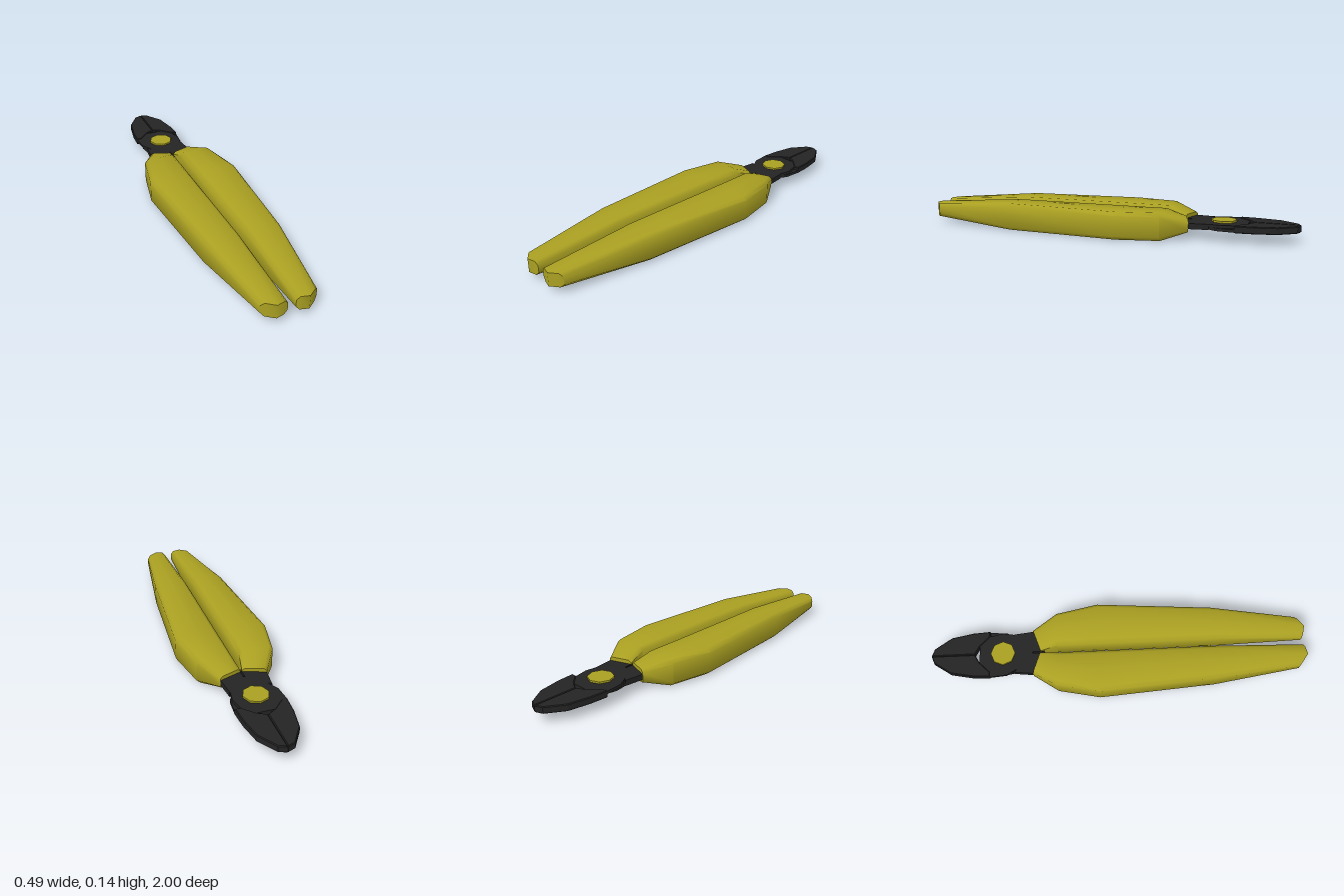
import * as THREE from 'three';
import { toCreasedNormals } from 'three/addons/utils/BufferGeometryUtils.js';

const grip = new THREE.MeshStandardMaterial({ color: 0xaaa022 });
const steel = new THREE.MeshStandardMaterial({ color: 0x242424 });

// Handle: chamfered cross-sections lofted from the butt to the neck.
// [inner x, outer x, chamfer, half height, half side height, z inner, z middle, z outer]
const SECTIONS = [
  [0.02, 0.14, 0.017, 0.036, 0.018, 0.985, 1.0, 0.955],
  [0.02, 0.2, 0.02, 0.0715, 0.054, 0.5, 0.5, 0.5],
  [0.02, 0.245, 0.022, 0.0715, 0.054, -0.11, -0.11, -0.11],
  [0.02, 0.2, 0.02, 0.0715, 0.054, -0.33, -0.33, -0.33],
  [0.004, 0.12, 0.015, 0.034, 0.022, -0.42, -0.44, -0.46],
];

function handleGeometry() {
  const pos = [], index = [], N = 10;
  for (const [xi, xo, c, h, s, zi, zm, zo] of SECTIONS) {
    const xm = (xi + xo) / 2;
    const t = c / (xm - xi);
    const columns = [
      [xo, s, zo], [xo - c, h, zo + (zm - zo) * t], [xm, h, zm],
      [xi + c, h, zi + (zm - zi) * t], [xi, s, zi],
    ];
    columns.forEach(([x, y, z]) => pos.push(x, y, z));
    columns.reverse().forEach(([x, y, z]) => pos.push(x, -y, z));
  }
  const last = (SECTIONS.length - 1) * N;
  for (let r = 0; r < last; r += N) {
    for (let j = 0; j < N; j++) {
      const k = (j + 1) % N;
      index.push(r + j, r + N + j, r + k, r + k, r + N + j, r + N + k);
    }
  }
  // end caps, as strips between the upper and lower corners
  for (let k = 0; k < 4; k++) {
    const a = k, b = k + 1, c = 8 - k, d = 9 - k;
    index.push(d, a, b, d, b, c);
    index.push(last + d, last + b, last + a, last + d, last + c, last + b);
  }
  const g = new THREE.BufferGeometry();
  g.setAttribute('position', new THREE.Float32BufferAttribute(pos, 3));
  g.setIndex(index);
  return toCreasedNormals(g, 0.9);
}

// Flat plate from an x/z outline, between two heights
function plateGeometry(outline, yLow, yHigh, bevel = 0) {
  const shape = new THREE.Shape(outline.map(([x, z]) => new THREE.Vector2(x, z)));
  const g = new THREE.ExtrudeGeometry(shape, {
    depth: yHigh - yLow - 2 * bevel,
    bevelEnabled: bevel > 0,
    bevelThickness: bevel,
    bevelSize: bevel,
    bevelOffset: -bevel,
    bevelSegments: 1,
  });
  return g.rotateX(Math.PI / 2).translate(0, yHigh - bevel, 0);
}

function add(parent, name, geometry, material) {
  const mesh = new THREE.Mesh(geometry, material);
  mesh.name = name;
  parent.add(mesh);
}

// One lever: handle on +x, lap plate over the pivot, jaw on -x
function makeLever(name) {
  const lever = new THREE.Group();
  lever.name = name;
  add(lever, 'handle', handleGeometry(), grip);
  add(lever, 'tang', plateGeometry(
    [[0.004, -0.4], [0.11, -0.42], [0.118, -0.46], [0.107, -0.56], [0.004, -0.48]],
    -0.0145, 0.0145), steel);
  add(lever, 'lapPlate', plateGeometry(
    [[0.004, -0.41], [0.118, -0.46], [0.105, -0.56], [0.115, -0.62], [0.1, -0.69],
      [0.045, -0.745], [-0.045, -0.745], [-0.12, -0.76], [-0.128, -0.69], [-0.12, -0.6],
      [-0.085, -0.54], [0.004, -0.46]],
    0, 0.0145), steel);
  add(lever, 'jaw', plateGeometry(
    [[-0.001, -1], [-0.04, -0.985], [-0.1, -0.895], [-0.122, -0.78], [-0.128, -0.69],
      [-0.1, -0.69], [-0.045, -0.745], [-0.001, -0.77]],
    -0.018, 0.018, 0.004), steel);
  return lever;
}

export function createModel() {
  const model = new THREE.Group();
  model.name = 'pliers';
  const tool = new THREE.Group();
  tool.name = 'tool';
  tool.position.y = 0.0715;
  model.add(tool);

  // the second lever is the first one turned half way round the long axis
  const left = makeLever('leftLever');
  const right = makeLever('rightLever');
  right.rotation.z = Math.PI;
  tool.add(left, right);

  // pivot pin through both lap plates
  add(tool, 'pivotPin',
    toCreasedNormals(new THREE.CylinderGeometry(0.065, 0.065, 0.048, 8).translate(0, 0, -0.62), 0.5), grip);
  return model;
}
